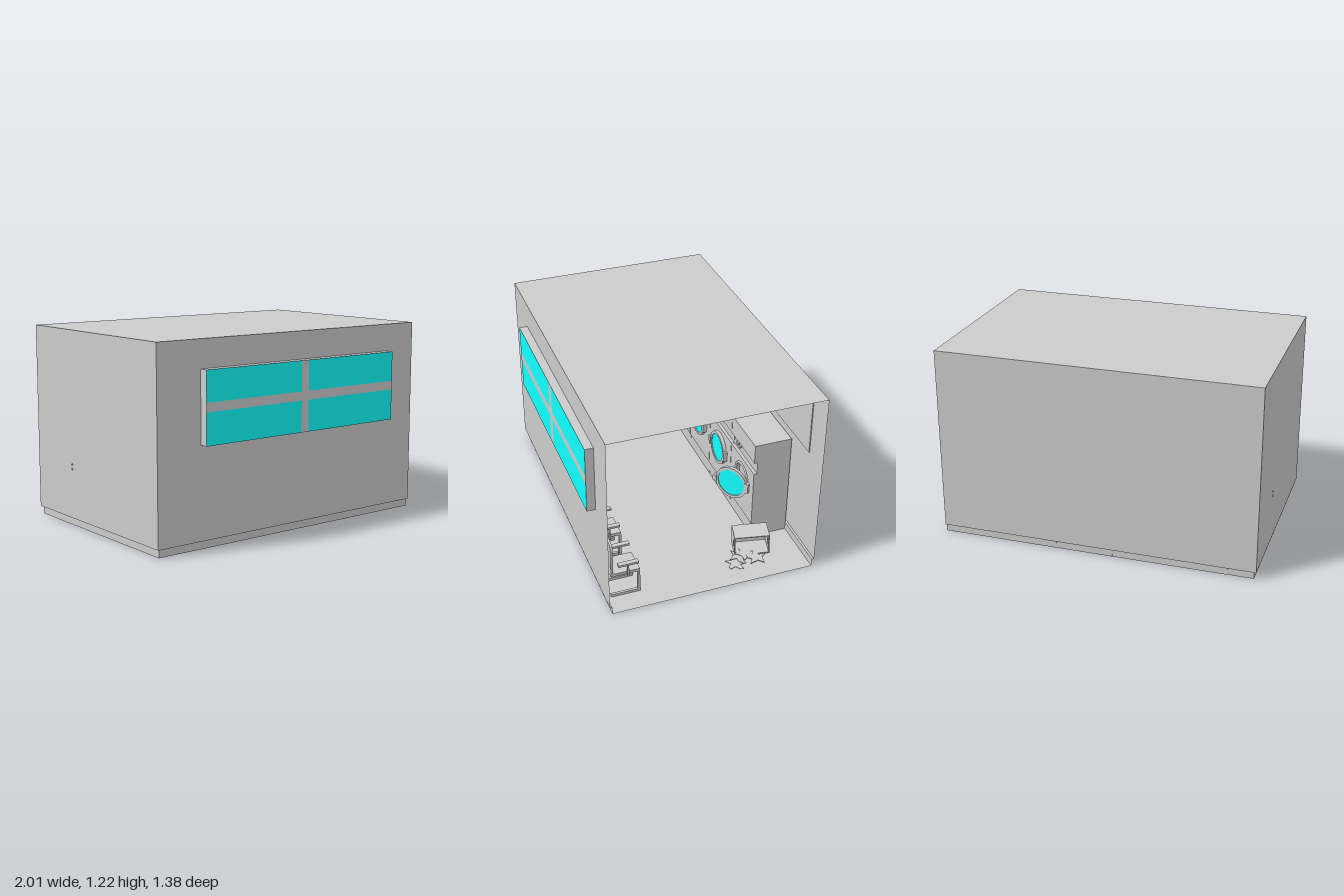
import * as THREE from 'three';

const grey = new THREE.MeshStandardMaterial({ color: 0xcccccc, side: THREE.DoubleSide });
const cyan = new THREE.MeshStandardMaterial({ color: 0x12ffff, side: THREE.DoubleSide });
const H = 1.215, F = 0.635, B = -0.688, STEP = 0.015, SKIRT = 0.05;

function add(parent, name, geo, x = 0, y = 0, z = 0, mat = grey) {
  const m = new THREE.Mesh(geo, mat);
  m.name = name;
  m.position.set(x, y, z);
  parent.add(m);
  return m;
}
// Box given by its min and max on each axis
function span(parent, name, x0, x1, y0, y1, z0, z1, mat = grey) {
  return add(parent, name, new THREE.BoxGeometry(x1 - x0, y1 - y0, z1 - z0),
    (x0 + x1) / 2, (y0 + y1) / 2, (z0 + z1) / 2, mat);
}
function group(parent, name, x = 0, y = 0, z = 0) {
  const g = new THREE.Group();
  g.name = name;
  g.position.set(x, y, z);
  parent.add(g);
  return g;
}
function rect(Type, x0, x1, y0, y1) {
  return new Type([[x0, y0], [x1, y0], [x1, y1], [x0, y1]].map(p => new THREE.Vector2(...p)));
}
const extrude = (shape, depth, curveSegments = 24) =>
  new THREE.ExtrudeGeometry(shape, { depth, bevelEnabled: false, curveSegments });
// Thin sheets: vertical across x, vertical across z, and horizontal
const sheetX = (p, n, x0, x1, y0, y1, z) => add(p, n, new THREE.PlaneGeometry(x1 - x0, y1 - y0), (x0 + x1) / 2, (y0 + y1) / 2, z);
const sheetZ = (p, n, x, y0, y1, z0, z1) => {
  add(p, n, new THREE.PlaneGeometry(z1 - z0, y1 - y0), x, (y0 + y1) / 2, (z0 + z1) / 2).rotation.y = Math.PI / 2;
};
const sheetY = (p, n, x0, x1, y, z0, z1) => {
  add(p, n, new THREE.PlaneGeometry(x1 - x0, z1 - z0), (x0 + x1) / 2, y, (z0 + z1) / 2).rotation.x = -Math.PI / 2;
};

function buildRoom(root) {
  const g = group(root, 'room');
  const xi = -1 + STEP, f = F - STEP, b = B + STEP;
  const wall = rect(THREE.Shape, -1, 1, SKIRT, H);
  wall.holes.push(rect(THREE.Path, -0.7, 0.77, 0.612, 1.045));
  add(g, 'frontWall', new THREE.ShapeGeometry(wall), 0, 0, F);
  sheetX(g, 'backWall', -1, 1, SKIRT, H, B);
  sheetZ(g, 'leftWall', -1, SKIRT, H, B, F);
  sheetY(g, 'ceiling', -1, 1, H, B, F);
  sheetY(g, 'floor', xi, 1, 0, b, f);
  // Skirting, set in from the walls
  sheetX(g, 'frontSkirting', xi, 1, 0, SKIRT, f);
  sheetX(g, 'backSkirting', xi, 1, 0, SKIRT, b);
  sheetZ(g, 'leftSkirting', xi, 0, SKIRT, b, f);
  sheetY(g, 'frontSkirtingTop', -1, 1, SKIRT, f, F);
  sheetY(g, 'backSkirtingTop', -1, 1, SKIRT, B, b);
  sheetY(g, 'leftSkirtingTop', -1, xi, SKIRT, b, f);
}

function buildWindow(root) {
  const g = group(root, 'window');
  const z = 0.688;
  sheetY(g, 'windowHead', -0.7, 0.77, 1.045, F, z);
  sheetY(g, 'windowSill', -0.7, 0.77, 0.612, F, z);
  sheetZ(g, 'windowJamb', -0.7, 0.612, 1.045, F, z);
  sheetZ(g, 'windowJamb', 0.77, 0.612, 1.045, F, z);
  span(g, 'mullion', 0.01, 0.065, 0.612, 1.045, F + 0.005, z);
  for (const [x0, x1] of [[-0.7, 0.01], [0.065, 0.77]]) {
    span(g, 'transom', x0, x1, 0.805, 0.86, F + 0.005, z);
    for (const [y0, y1] of [[0.612, 0.805], [0.86, 1.045]])
      sheetX(g, 'pane', x0, x1, y0, y1, z).material = cyan;
  }
}

function buildWasher(root, x) {
  const g = group(root, 'washer', x, 0, 0);
  const w = 0.178, cy = 0.345;
  span(g, 'body', -w, w, 0, 0.7, -0.675, -0.458);
  span(g, 'topFascia', -w, w, 0.572, 0.7, -0.458, -0.432);
  span(g, 'controlPanel', -w, w, 0.49, 0.572, -0.458, -0.453);
  span(g, 'plinth', -w, w, 0, 0.1, -0.458, -0.44);
  const panel = rect(THREE.Shape, -w, w, 0.1, 0.49);
  panel.holes.push(new THREE.Path().absarc(0, cy, 0.095, 0, Math.PI * 2));
  add(g, 'frontPanel', extrude(panel, 0.026), 0, 0, -0.458);
  add(g, 'drumRim', new THREE.TorusGeometry(0.1, 0.008, 8, 32), 0, cy, -0.432);
  for (const dx of [-0.12, -0.08])
    add(g, 'dial', new THREE.CylinderGeometry(0.014, 0.014, 0.012, 16), dx, 0.53, -0.449).rotation.x = Math.PI / 2;
  return g;
}

// Round door hinged on its +x edge
function addDoor(washer, angle) {
  const d = group(washer, 'door', 0.112, 0.345, -0.425);
  d.rotation.y = angle;
  const ring = new THREE.Shape().absarc(0, 0, 0.112, 0, Math.PI * 2);
  ring.holes.push(new THREE.Path().absarc(0, 0, 0.093, 0, Math.PI * 2));
  add(d, 'doorRing', extrude(ring, 0.022, 32), -0.112, 0, -0.005);
  add(d, 'doorGlass', new THREE.CircleGeometry(0.094, 40), -0.112, 0, 0.012, cyan);
  span(d, 'hinge', -0.015, 0.012, -0.035, 0.035, -0.006, 0.02);
  span(d, 'doorHandle', -0.24, -0.215, -0.02, 0.02, 0, 0.025);
}

function buildChair(root, x) {
  const g = group(root, 'chair', x, 0, 0);
  const back = new THREE.Shape();
  back.moveTo(-0.08, 0.17).lineTo(0.08, 0.17).lineTo(0.08, 0.34);
  back.quadraticCurveTo(0.08, 0.395, 0.03, 0.395).lineTo(-0.03, 0.395);
  back.quadraticCurveTo(-0.08, 0.395, -0.08, 0.34);
  add(g, 'chairBack', extrude(back, 0.014), 0, 0, 0.567);
  span(g, 'seat', -0.08, 0.08, 0.155, 0.175, 0.4, 0.581);
  for (const s of [-1, 1]) {
    const c = s * 0.072, a = s * 0.088;
    span(g, 'frontLeg', c - 0.008, c + 0.008, 0, 0.155, 0.398, 0.413);
    span(g, 'floorRunner', c - 0.008, c + 0.008, 0, 0.018, 0.413, 0.581);
    span(g, 'armPost', a - 0.006, a + 0.006, 0.145, 0.236, 0.471, 0.481);
    span(g, 'armRest', a - 0.015, a + 0.015, 0.236, 0.25, 0.412, 0.54);
  }
}

function buildCrate(root) {
  const g = group(root, 'tippedCrate', 0.72, 0.006, -0.385);
  g.rotation.set(0.04, -0.25, 0);
  const d = 0.065, l = 0.11, h = 0.14, t = 0.006;
  span(g, 'crateBase', -d, -d + t, 0, h, -l, l);
  span(g, 'crateLower', -d, d, 0, t, -l, l);
  span(g, 'crateUpper', -d, d, h - t, h, -l, l);
  for (const s of [-1, 1]) {
    const end = rect(THREE.Shape, -d, d, 0, h);
    end.holes.push(rect(THREE.Path, 0.02, 0.042, 0.045, 0.095));
    add(g, 'crateEnd', extrude(end, t), 0, 0, s * (l - t / 2) - t / 2);
  }
  // Clothes spilled flat on the floor
  for (let k = 0; k < 4; k++) {
    const pts = [];
    for (let i = 0; i < 14; i++) {
      const a = i / 14 * Math.PI * 2, r = 0.05 + 0.022 * Math.sin(i * 2.3 + k * 1.7);
      pts.push(new THREE.Vector2(r * Math.cos(a), r * Math.sin(a)));
    }
    const m = add(root, 'spilledClothes', extrude(new THREE.Shape(pts), 0.004),
      0.79 + 0.04 * Math.cos(k * 2), 0.002 + k * 0.004, -0.24 - k * 0.045);
    m.rotation.x = -Math.PI / 2;
  }
}

// Woven basket hung on the left wall
function buildBasket(root) {
  const g = group(root, 'basket', -0.915, 0.19, -0.278);
  const R = y => 0.056 + 0.09 * y;
  add(g, 'basketShell', new THREE.CylinderGeometry(R(0.165), R(0), 0.165, 24, 1, true), 0, 0.0825, 0);
  add(g, 'basketBottom', new THREE.CylinderGeometry(R(0), R(0), 0.006, 24), 0, 0.003, 0);
  add(g, 'basketRim', new THREE.TorusGeometry(R(0.165), 0.006, 6, 24), 0, 0.165, 0).rotation.x = Math.PI / 2;
  for (let row = 0; row < 7; row++) for (let i = 0; i < 10; i++) {
    const a = (i + (row % 2) / 2) / 10 * Math.PI * 2, y = 0.018 + row * 0.022;
    const m = add(g, 'weave', new THREE.BoxGeometry(0.02, 0.02, 0.008), R(y) * Math.sin(a), y, R(y) * Math.cos(a));
    m.rotation.y = a;
  }
  span(g, 'hook', -0.06, -0.05, 0.1, 0.215, -0.006, 0.006);
  for (const y of [0.17, 0.2])
    add(g, 'hookBolt', new THREE.CylinderGeometry(0.006, 0.006, 0.04, 8), -0.07, y, 0).rotation.z = Math.PI / 2;
}

// Wall machine with a screen, a tray and a few buttons
function buildWallMachine(root) {
  const g = group(root, 'wallMachine');
  span(g, 'cabinet', -1, -0.91, 0.52, 0.855, -0.195, 0.143);
  const frame = rect(THREE.Shape, -0.143, 0.195, 0.52, 0.855);
  frame.holes.push(rect(THREE.Path, -0.134, 0.186, 0.529, 0.846));
  add(g, 'cabinetFrame', extrude(frame, 0.008), -0.91, 0, 0).rotation.y = Math.PI / 2;
  span(g, 'screen', -0.91, -0.905, 0.745, 0.84, -0.08, 0.13, cyan);
  span(g, 'tray', -0.91, -0.88, 0.555, 0.565, -0.085, 0.134);
  span(g, 'trayHood', -0.91, -0.895, 0.568, 0.578, -0.085, 0.134);
  for (const y of [0.77, 0.81])
    for (const z of [-0.142, -0.132]) span(g, 'button', -0.91, -0.904, y, y + 0.014, z - 0.002, z + 0.002);
}

export function createModel() {
  const root = new THREE.Group();
  root.name = 'laundryRoom';
  buildRoom(root);
  buildWindow(root);
  [0.432, 0.072, -0.288, -0.648].forEach((x, i) => addDoor(buildWasher(root, x), i ? 0 : 0.65));
  for (const x of [0.78, 0.42, 0.06, -0.3]) buildChair(root, x);
  buildCrate(root);
  buildBasket(root);
  buildWallMachine(root);
  // Notice board on the back wall
  span(root, 'wallBoard', -0.825, 0.825, 0.74, 1.185, B, B + 0.006);
  // Low pipe along the left wall
  const path = new THREE.CurvePath();
  const v = (y, z) => new THREE.Vector3(-0.93, y, z);
  path.add(new THREE.LineCurve3(v(0, 0.535), v(0.075, 0.535)));
  path.add(new THREE.QuadraticBezierCurve3(v(0.075, 0.535), v(0.118, 0.535), v(0.118, 0.49)));
  path.add(new THREE.LineCurve3(v(0.118, 0.49), v(0.118, -0.44)));
  add(root, 'pipe', new THREE.TubeGeometry(path, 60, 0.016, 12));
  // Ceiling lights: shallow open frames
  for (let i = 0; i < 4; i++) {
    const light = rect(THREE.Shape, -0.18, 0.18, -0.065, 0.065);
    light.holes.push(rect(THREE.Path, -0.168, 0.168, -0.053, 0.053));
    add(root, 'ceilingLight', extrude(light, 0.012), 0.765 - i * 0.515, H - 0.013, -0.025).rotation.x = -Math.PI / 2;
  }
  return root;
}
